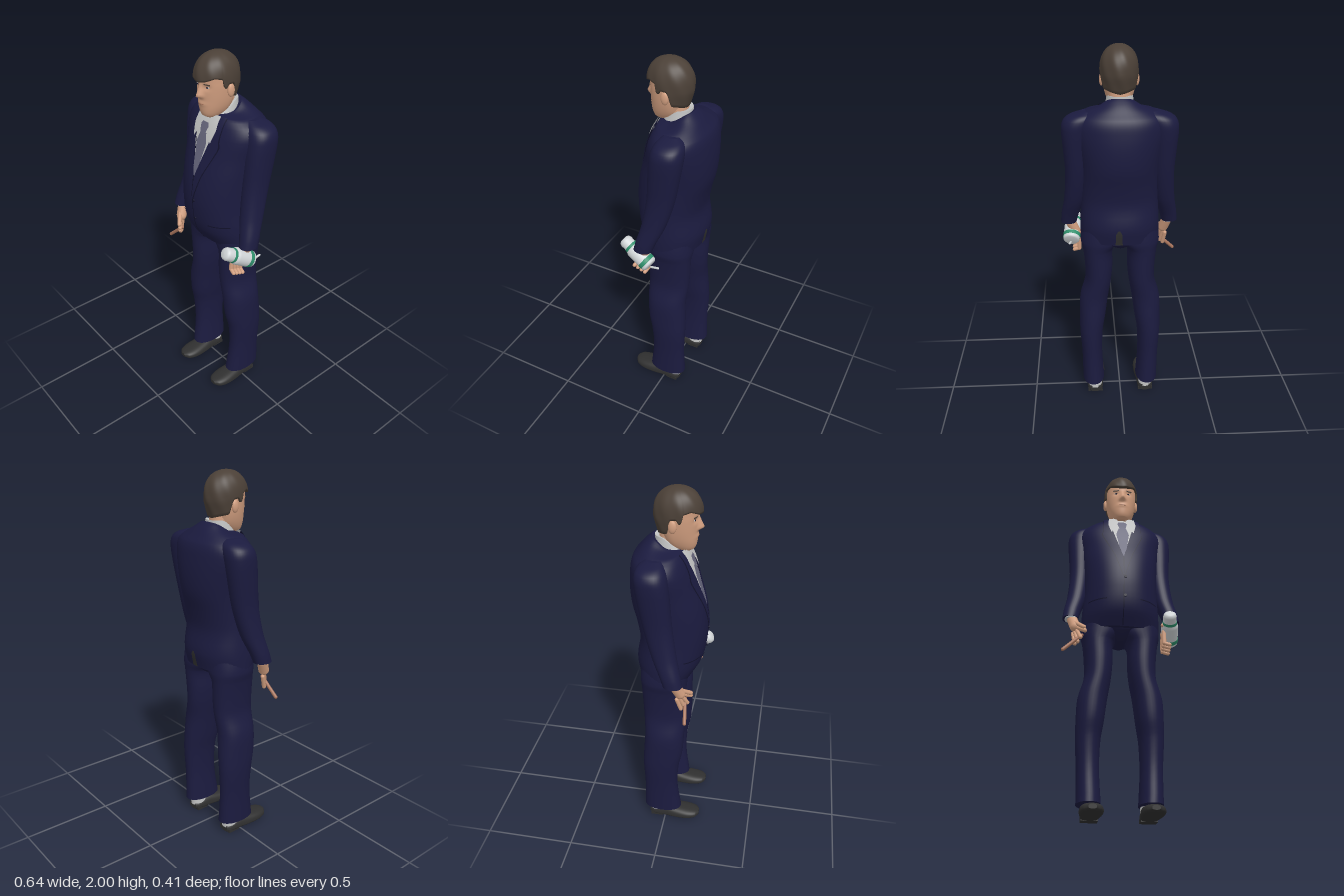
import * as THREE from 'three';

const mat = (name, color, side = THREE.FrontSide) => {
  const m = new THREE.MeshStandardMaterial({ color, side });
  m.name = name;
  return m;
};

// Grid of points f(i, j); closed grids wrap around in i.
function grid(nu, nv, f, closed = true) {
  const pos = [], idx = [], w = closed ? nu : nu + 1;
  for (let j = 0; j <= nv; j++) for (let i = 0; i < w; i++) pos.push(...f(i, j));
  for (let j = 0; j < nv; j++) for (let i = 0; i < nu; i++) {
    const a = j * w + i, b = j * w + (i + 1) % w;
    idx.push(a, b, b + w, a, b + w, a + w);
  }
  const g = new THREE.BufferGeometry();
  g.setAttribute('position', new THREE.Float32BufferAttribute(pos, 3));
  g.setIndex(idx);
  g.computeVertexNormals();
  return g;
}

// Smooth interpolation of cross-sections [y, cx, cz, rx, rFront, rBack] sorted by y.
function sample(s, y) {
  let i = 0;
  while (i < s.length - 2 && y > s[i + 1][0]) i++;
  const h = s[i + 1][0] - s[i][0], t = THREE.MathUtils.clamp((y - s[i][0]) / h, 0, 1);
  const slope = (k, c) => {
    const a = s[Math.max(k - 1, 0)], b = s[Math.min(k + 1, s.length - 1)];
    return (b[c] - a[c]) / (b[0] - a[0]) * h;
  };
  return s[i].map((v, c) => c === 0 ? y :
    v * (1 + 2 * t) * (1 - t) ** 2 + slope(i, c) * t * (1 - t) ** 2 +
    s[i + 1][c] * t * t * (3 - 2 * t) - slope(i + 1, c) * t * t * (1 - t));
}

// Capped body through cross-sections.
function loft(secs, { p = 2.2, n = 36, sub = 4, rule = null } = {}) {
  const s = [...secs].sort((a, b) => a[0] - b[0]), ys = [];
  for (let i = 0; i < s.length - 1; i++)
    for (let k = 0; k < sub; k++) ys.push(s[i][0] + (s[i + 1][0] - s[i][0]) * k / sub);
  ys.push(s[s.length - 1][0]);
  // end rings are doubled so the caps keep a sharp edge
  const top = ys[ys.length - 1], all = [ys[0], ys[0], ...ys, top, top];
  const pw = v => Math.sign(v) * Math.abs(v) ** (2 / p);
  return grid(n, all.length - 1, (i, j) => {
    const [y, cx, cz, rx, f, b] = sample(s, all[j]);
    const k = j === 0 || j === all.length - 1 ? 0 : 1;
    const a = i / n * Math.PI * 2, c = Math.cos(a);
    const pt = [cx + k * rx * pw(Math.sin(a)), y, cz + k * (c > 0 ? f : b) * pw(c)];
    return rule ? rule(pt) : pt;
  });
}

const torsoSections = [
  [0.99, 0, 0, 0.212, 0.128, 0.158], [1.08, 0, 0, 0.212, 0.178, 0.172], [1.2, 0, 0, 0.205, 0.198, 0.155],
  [1.3, 0, 0, 0.205, 0.196, 0.17], [1.4, 0, 0, 0.21, 0.178, 0.195], [1.5, 0, -0.02, 0.222, 0.168, 0.182],
  [1.6, 0, -0.03, 0.238, 0.147, 0.165], [1.655, 0, -0.04, 0.222, 0.135, 0.142], [1.69, 0, -0.04, 0.175, 0.118, 0.115],
  [1.725, 0, -0.03, 0.11, 0.09, 0.095], [1.755, 0, -0.02, 0.08, 0.062, 0.07]];

// Thin cloth panel lying on the jacket; rows are [y, x0, x1], dir -1 is the back.
function panel(rows, off, dir = 1) {
  const nu = 8, nv = 20, r = [...rows].sort((a, b) => a[0] - b[0]);
  return grid(nu, nv, (i, j) => {
    const y = r[0][0] + (r[r.length - 1][0] - r[0][0]) * j / nv;
    let k = 0;
    while (k < r.length - 2 && y > r[k + 1][0]) k++;
    const t = (y - r[k][0]) / (r[k + 1][0] - r[k][0]);
    const x0 = THREE.MathUtils.lerp(r[k][1], r[k + 1][1], t), x1 = THREE.MathUtils.lerp(r[k][2], r[k + 1][2], t);
    const x = x0 + (x1 - x0) * i / nu;
    const [, , cz, rx, f, b] = sample(torsoSections, y);
    const d = Math.max(0, 1 - (Math.abs(x) / rx) ** 2.2) ** (1 / 2.2);
    return [x, y, cz + (dir > 0 ? f * d + off : -b * d - off)];
  }, false);
}

// Necklines dip from z0 towards the front z1 above a given height.
const dip = (from, amount, z0, z1) => ([x, y, z]) =>
  [x, y - Math.max(0, y - from) * amount * THREE.MathUtils.smoothstep(z, z0, z1), z];

// Lower edge of the hair by angle from the front.
const hairEdge = [[0, 1.876], [0.5, 1.884], [0.9, 1.9], [1.24, 1.892], [1.33, 1.845], [1.43, 1.845], [1.52, 1.866],
  [1.8, 1.862], [2.0, 1.79], [3.2, 1.765]];
function edgeAt(a) {
  let k = 0;
  while (k < hairEdge.length - 2 && a > hairEdge[k + 1][0]) k++;
  const [a0, y0] = hairEdge[k], [a1, y1] = hairEdge[k + 1];
  return y0 + (y1 - y0) * (a - a0) / (a1 - a0);
}

export function createModel() {
  const D = THREE.DoubleSide;
  const suit = mat('navy suit', 0x1b1b3f, D), trim = mat('dark navy trim', 0x11112a, D);
  const skin = mat('skin', 0xd29f80), hair = mat('brown hair', 0x4b4037, D);
  const shirt = mat('pale shirt', 0xc3c4c4, D), tie = mat('grey tie', 0x66667c, D);
  const shoe = mat('black leather', 0x2f2f2f, D), white = mat('bottle white', 0xd3d7d9);
  const green = mat('bottle green', 0x2f8f6c), brown = mat('reddish brown', 0xa8745c);
  const model = new THREE.Group();
  model.name = 'manInSuit';
  const add = (name, geo, m, x = 0, y = 0, z = 0) => {
    const mesh = new THREE.Mesh(geo, m);
    mesh.name = name;
    mesh.position.set(x, y, z);
    model.add(mesh);
    return mesh;
  };
  const up = new THREE.Vector3(0, 1, 0);
  const aim = (mesh, a, b) => {
    mesh.quaternion.setFromUnitVectors(up, new THREE.Vector3().subVectors(b, a).normalize());
    return mesh;
  };
  // Rounded rod between two points.
  const rod = (name, a, b, r, m) => {
    const A = new THREE.Vector3(...a), B = new THREE.Vector3(...b), c = A.clone().add(B).multiplyScalar(0.5);
    return aim(add(name, new THREE.CapsuleGeometry(r, A.distanceTo(B), 4, 10), m, c.x, c.y, c.z), A, B);
  };

  // Jacket, shirt front and tie
  add('jacket', loft(torsoSections, { n: 48, rule: dip(1.69, 0.75, -0.1, 0.01) }), suit);
  add('shirtFront', panel([[1.39, 0, 0], [1.55, -0.05, 0.05], [1.66, -0.075, 0.075], [1.7, -0.07, 0.07]], 0.004), shirt);
  add('tie', panel([[1.39, -0.003, 0.003], [1.45, -0.02, 0.02], [1.56, -0.036, 0.036], [1.61, -0.02, 0.02]], 0.008), tie);
  add('tieKnot', panel([[1.605, -0.018, 0.018], [1.645, -0.028, 0.028], [1.66, -0.02, 0.02]], 0.014), tie);
  add('shirtCollar', loft([[1.63, 0, 0, 0.07, 0.085, 0.07], [1.7, 0, 0.003, 0.074, 0.077, 0.08],
    [1.76, 0, 0, 0.068, 0.062, 0.076]], { rule: dip(1.67, 0.65, -0.04, 0.06) }), shirt);
  add('frontSeam', panel([[0.99, -0.002, 0.003], [1.39, -0.002, 0.003]], 0.003), trim);
  for (const y of [1.14, 1.25]) {
    const z = sample(torsoSections, y)[4] + 0.003;
    add('button', new THREE.CylinderGeometry(0.008, 0.008, 0.006, 12).rotateX(Math.PI / 2), trim, 0.008, y, z);
  }
  add('backVent', panel([[0.992, 0.03, -0.008], [1.06, 0.028, -0.004], [1.08, 0.016, 0.006]], 0.003, -1), shoe);

  // Trousers seat
  add('trouserSeat', loft([[1.1, 0, -0.01, 0.18, 0.12, 0.135], [1.0, 0, -0.01, 0.2, 0.12, 0.135],
    [0.97, 0, -0.01, 0.12, 0.1, 0.115], [0.95, 0, -0.01, 0.05, 0.08, 0.095], [0.938, 0, -0.01, 0.02, 0.06, 0.07]]), suit);

  for (const s of [1, -1]) {
    const side = s > 0 ? 'left' : 'right';
    const m = secs => secs.map(([y, cx, ...r]) => [y, cx * s, ...r]);
    const mp = rows => rows.map(([y, a, b]) => [y, a * s, b * s]);
    add(side + 'LapelEdge', panel(mp([[1.26, 0, 0.008], [1.4, 0.004, 0.05], [1.56, 0.046, 0.117], [1.59, 0.053, 0.107],
      [1.695, 0.07, 0.105]]), 0.004), trim);
    add(side + 'Lapel', panel(mp([[1.26, 0, 0.005], [1.4, 0.005, 0.047], [1.56, 0.048, 0.113], [1.59, 0.055, 0.104],
      [1.7, 0.074, 0.102]]), 0.008), suit);
    add(side + 'CollarPoint', panel(mp([[1.575, 0.06, 0.064], [1.64, 0.026, 0.079], [1.7, 0.022, 0.073]]), 0.013), shirt);
    add(side + 'Pocket', panel(mp([[1.124, 0.09, 0.185], [1.13, 0.09, 0.185]]), 0.003), trim);

    // Sleeve and shirt cuff
    add(side + 'Sleeve', loft(m([[1.69, 0.165, -0.05, 0.03, 0.035, 0.04], [1.672, 0.188, -0.055, 0.066, 0.058, 0.066],
      [1.645, 0.209, -0.056, 0.078, 0.074, 0.08], [1.6, 0.223, -0.052, 0.075, 0.08, 0.086],
      [1.5, 0.228, -0.04, 0.065, 0.078, 0.084], [1.35, 0.228, -0.02, 0.057, 0.07, 0.075],
      [1.2, 0.243, 0.012, 0.053, 0.062, 0.064], [1.1, 0.267, 0.046, 0.047, 0.052, 0.055],
      [1.048, 0.276, 0.06, 0.043, 0.05, 0.05]])), suit);
    add(side + 'Cuff', loft(m([[1.042, 0.272, 0.062, 0.034, 0.042, 0.04], [1.07, 0.272, 0.06, 0.034, 0.042, 0.04]])), shirt);

    // Trouser leg
    add(side + 'TrouserLeg', loft(m([[1.08, 0.1, 0, 0.1, 0.12, 0.135], [0.98, 0.106, -0.01, 0.108, 0.122, 0.132],
      [0.925, 0.12, -0.01, 0.083, 0.118, 0.125], [0.82, 0.117, -0.01, 0.076, 0.117, 0.12],
      [0.73, 0.121, -0.01, 0.072, 0.115, 0.115], [0.62, 0.145, -0.01, 0.078, 0.112, 0.107],
      [0.5, 0.156, -0.012, 0.073, 0.107, 0.112], [0.4, 0.164, -0.02, 0.065, 0.096, 0.106],
      [0.25, 0.162, -0.02, 0.058, 0.09, 0.1], [0.075, 0.156, -0.014, 0.062, 0.106, 0.11]])), suit);

    // Sock and shoe
    add(side + 'Sock', loft(m([[0.03, 0.148, -0.05, 0.04, 0.05, 0.046], [0.12, 0.15, -0.045, 0.042, 0.05, 0.05]])), shirt);
    add(side + 'Shoe', loft(m([[-0.092, 0.148, -0.02, 0.03, 0.019, 0.024], [-0.07, 0.148, -0.02, 0.043, 0.02, 0.034],
      [0, 0.148, -0.02, 0.048, 0.02, 0.052], [0.06, 0.148, -0.02, 0.056, 0.02, 0.046], [0.13, 0.148, -0.022, 0.058, 0.019, 0.036],
      [0.18, 0.148, -0.026, 0.044, 0.016, 0.024], [0.2, 0.148, -0.03, 0.02, 0.01, 0.012]]), { p: 2.5 })
      .rotateX(Math.PI / 2), shoe);
    add(side + 'ShoeHeel', new THREE.BoxGeometry(0.085, 0.02, 0.07), shoe, s * 0.148, 0.01, -0.05);

    // Ear, eye, brow
    add(side + 'Ear', new THREE.SphereGeometry(0.033, 14, 10).scale(0.36, 1, 0.62), skin, s * 0.09, 1.828, 0.024);
    add(side + 'Eye', new THREE.SphereGeometry(0.014, 12, 8).scale(1, 0.36, 0.8), shirt, s * 0.034, 1.848, 0.115);
    add(side + 'Pupil', new THREE.SphereGeometry(0.006, 10, 8).scale(1.2, 0.8, 1), trim, s * 0.034, 1.848, 0.1215);
    add(side + 'Brow', new THREE.BoxGeometry(0.034, 0.005, 0.008), hair, s * 0.036, 1.864, 0.1265).rotation.y = s * 0.3;
  }

  // Neck, head with nose, eye sockets and lips shaped by a rule
  add('neck', loft([[1.62, 0, -0.005, 0.06, 0.06, 0.06], [1.72, 0, 0.005, 0.058, 0.064, 0.062],
    [1.8, 0, 0.015, 0.058, 0.05, 0.065]]), skin);
  const bump = (v, w) => Math.exp(-((v / w) ** 2));
  add('head', loft([[1.686, 0, 0.07, 0.028, 0.035, 0.03], [1.698, 0, 0.06, 0.044, 0.062, 0.05],
    [1.73, 0, 0.04, 0.063, 0.092, 0.065], [1.77, 0, 0.03, 0.076, 0.104, 0.068], [1.82, 0, 0.03, 0.084, 0.106, 0.085],
    [1.87, 0, 0.03, 0.088, 0.107, 0.1], [1.92, 0, 0.03, 0.085, 0.104, 0.098], [1.96, 0, 0.03, 0.055, 0.07, 0.065]],
    { n: 72, sub: 7, rule: ([x, y, z]) => {
      if (z > 0.08) {
        const down = THREE.MathUtils.clamp((1.865 - y) / 0.058, 0, 1);
        const under = THREE.MathUtils.smoothstep(y, 1.785, 1.805);
        z += 0.03 * down * under * bump(x, 0.008 + 0.008 * down);
        z -= 0.008 * bump(Math.abs(x) - 0.034, 0.017) * bump(y - 1.848, 0.013);
        z += 0.005 * bump(x, 0.03) * bump(y - 1.763, 0.012);
      }
      return [x, y, z];
    } }), skin);
  add('mouth', new THREE.SphereGeometry(0.022, 14, 8).scale(1, 0.17, 0.35), brown, 0, 1.762, 0.1325);

  // Hair cap with fringe, sideburns and nape
  const rows = 22;
  add('hair', grid(96, rows, (i, j) => {
    const a = i / 96 * Math.PI * 2, e = edgeAt(Math.min(a, Math.PI * 2 - a));
    const t = Math.sin(Math.max(0, j - 1) / (rows - 1) * Math.PI / 2), y = e + (2 - e) * t;
    const q = Math.max(0, (y - 1.875) / 0.125);
    const f = Math.max(0, 1 - q ** 2.2) ** (1 / 2.15) * (j === 0 ? 0.84 : 1);
    const c = Math.cos(a), nape = c < 0 ? 1 - Math.max(0, 1.85 - y) * 2.6 : 1;
    const wave = 1 + 0.012 * Math.sin(a * 9 + y * 40);
    return [0.098 * f * Math.sin(a) * wave * (0.5 + 0.5 * nape), y, 0.037 + 0.121 * f * c * nape * wave];
  }), hair);

  // Right hand with cigar
  rod('rightPalm', [-0.266, 1.04, 0.07], [-0.25, 0.985, 0.095], 0.029, skin);
  const rightFingers = [[-0.2, 0.945, 0.145], [-0.222, 0.912, 0.13], [-0.236, 0.893, 0.116], [-0.25, 0.887, 0.1]];
  rightFingers.forEach(([x, y, z], i) => {
    const knuckle = [-0.233 - i * 0.009, 0.97 - i * 0.006, 0.116 - i * 0.012];
    rod('rightFinger', knuckle, [x, y, z], 0.011, skin);
  });
  rod('rightThumb', [-0.25, 1.005, 0.105], [-0.206, 0.965, 0.144], 0.012, skin);
  rod('cigar', [-0.215, 0.93, 0.117], [-0.312, 0.838, 0.13], 0.0095, brown);

  // Left hand
  rod('leftPalm', [0.266, 1.04, 0.064], [0.238, 0.975, 0.07], 0.028, skin);
  for (let i = 0; i < 4; i++) {
    const z = 0.122 - i * 0.021, y = 0.925 - i * 0.008;
    rod('leftFinger', [0.222, y + 0.045, z], [0.222, y - 0.025, z + 0.006], 0.0115, skin);
    rod('leftFingertip', [0.222, y - 0.025, z + 0.006], [0.25, y - 0.035, z + 0.012], 0.0105, skin);
  }
  rod('leftThumb', [0.245, 1.01, 0.09], [0.216, 1.0, 0.135], 0.012, skin);

  // Bottle with green bands and a thin spout
  const base = new THREE.Vector3(0.266, 0.942, 0.026), tip = new THREE.Vector3(0.246, 1.042, 0.19);
  const turned = (name, pts, m) => aim(add(name,
    new THREE.LatheGeometry(pts.map(([r, h]) => new THREE.Vector2(r, h)), 28), m, base.x, base.y, base.z), base, tip);
  turned('bottle', [[0, 0], [0.036, 0], [0.044, 0.008], [0.046, 0.02], [0.046, 0.115], [0.043, 0.128], [0.037, 0.137],
    [0.037, 0.15], [0.035, 0.153], [0.036, 0.18], [0.031, 0.193], [0.02, 0.199], [0, 0.2]], white);
  turned('bottleNeckBand', [[0.036, 0.134], [0.0395, 0.135], [0.0385, 0.149], [0.036, 0.15]], green);
  turned('bottleBaseBand', [[0.045, 0.02], [0.0475, 0.021], [0.0475, 0.042], [0.045, 0.043]], green);
  rod('bottleSpout', [0.268, 0.935, 0.02], [0.274, 0.948, -0.025], 0.006, white);

  return model;
}
